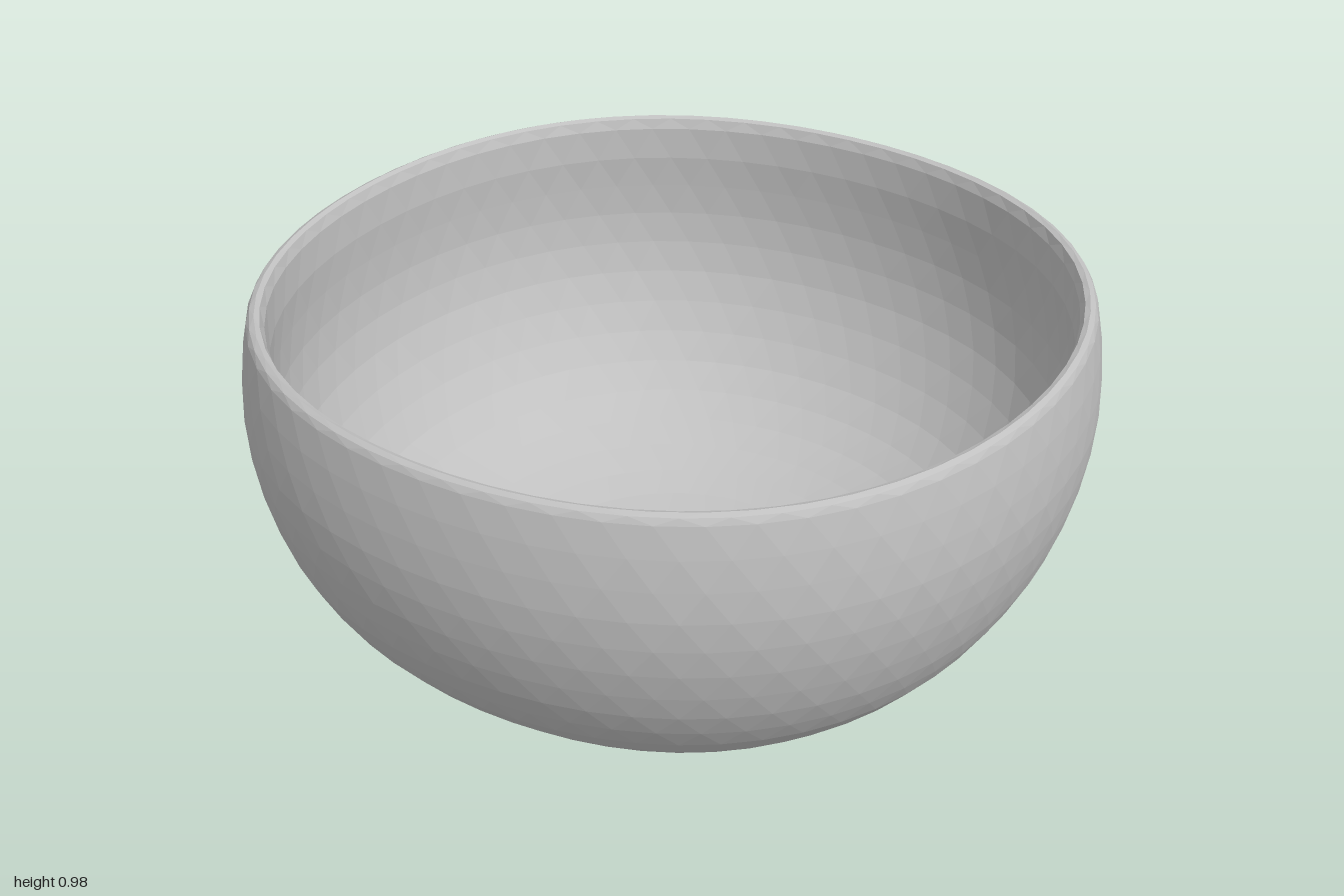
import * as THREE from 'three';

const SEGMENTS = 60;

export function createModel() {
  const group = new THREE.Group();
  group.name = 'bowl';

  const ceramic = new THREE.MeshStandardMaterial({ color: 0xc0c0c0, flatShading: true });
  ceramic.name = 'grey ceramic';

  // Spins a [radius, height] profile around y. Each row is turned half a facet
  // for triangular facets, and wide rows swell slightly at the four diagonals.
  const turn = (name, profile) => {
    const points = profile.map(([r, y]) => new THREE.Vector2(r, y));
    const geometry = new THREE.LatheGeometry(points, SEGMENTS);
    const position = geometry.attributes.position;
    for (let i = 0; i < position.count; i++) {
      const row = i % profile.length;
      const column = Math.floor(i / profile.length);
      const angle = ((column + row / 2) / SEGMENTS) * Math.PI * 2;
      const [r, y] = profile[row];
      const swell = 0.024 * THREE.MathUtils.smoothstep(r, 0.42, 0.8);
      const radius = r * (1 + swell * Math.sin(2 * angle) ** 2);
      position.setXYZ(i, radius * Math.sin(angle), y, radius * Math.cos(angle));
    }
    geometry.computeVertexNormals();
    const mesh = new THREE.Mesh(geometry, ceramic);
    mesh.name = name;
    group.add(mesh);
  };

  // Smooth curve through a few profile points
  const smooth = (profile, n) =>
    new THREE.SplineCurve(profile.map(([r, y]) => new THREE.Vector2(r, y)))
      .getSpacedPoints(n).map((p) => [p.x, p.y]);

  // Foot ring with a shallow recess underneath
  turn('foot', [
    [0, 0.022], [0.2, 0.022], [0.325, 0.022], [0.34, 0.005], [0.352, 0], [0.375, 0],
    [0.395, 0.01], [0.405, 0.028], [0.425, 0.042],
  ]);

  // Rounded outer wall
  turn('outerWall', smooth([
    [0.425, 0.042], [0.52, 0.075], [0.62, 0.112], [0.7, 0.153], [0.78, 0.212],
    [0.85, 0.285], [0.9, 0.36], [0.94, 0.44], [0.97, 0.53], [0.99, 0.62],
    [1, 0.72], [0.996, 0.82], [0.986, 0.9], [0.975, 0.955],
  ], 16));

  // Thin rim, slightly rounded over
  turn('rim', [[0.975, 0.955], [0.967, 0.97], [0.955, 0.976], [0.943, 0.971], [0.934, 0.945]]);

  // Inner wall, steep at the sides and rounding into the floor
  turn('innerWall', smooth([
    [0.934, 0.945], [0.93, 0.85], [0.935, 0.73], [0.922, 0.61], [0.89, 0.5],
    [0.83, 0.385], [0.755, 0.29], [0.655, 0.21], [0.53, 0.15], [0.4, 0.11],
    [0.2, 0.083], [0, 0.075],
  ], 18));

  return group;
}
